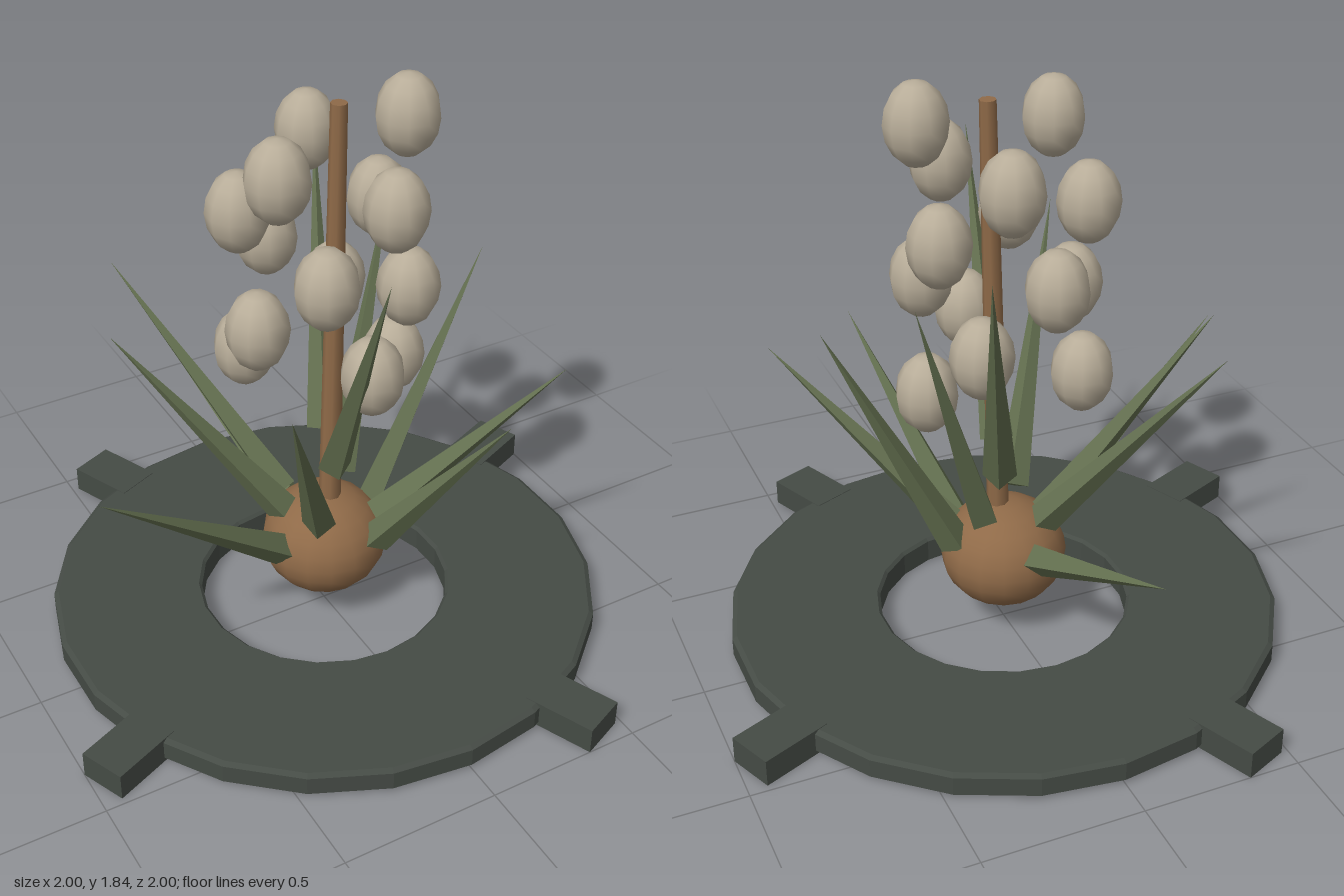
import * as THREE from 'three';

const mat = (name, color) => {
  const m = new THREE.MeshStandardMaterial({ color });
  m.name = name;
  return m;
};

// Gives every face its own normal
function faceted(geometry) {
  const g = geometry.toNonIndexed();
  g.computeVertexNormals();
  return g;
}

export function createModel() {
  const model = new THREE.Group();
  model.name = 'plant';
  const stone = mat('dark stone', 0x454b45);
  const brown = mat('bulb brown', 0x8f6a48);
  const green = mat('leaf green', 0x647050);
  const cream = mat('pale cream', 0xb8ad99);

  const add = (name, geometry, material, parent = model) => {
    const mesh = new THREE.Mesh(geometry, material);
    mesh.name = name;
    parent.add(mesh);
    return mesh;
  };
  const group = (name) => {
    const g = new THREE.Group();
    g.name = name;
    model.add(g);
    return g;
  };

  // Flat base ring with a worn, slightly bevelled rim
  const section = [
    [0.4, 0.005], [0.865, 0.005], [0.88, 0.018], [0.88, 0.078],
    [0.865, 0.088], [0.41, 0.09], [0.4, 0.08], [0.4, 0.005],
  ].map(([r, y]) => new THREE.Vector2(r, y));
  add('baseRing', faceted(new THREE.LatheGeometry(section, 22)), stone);

  // Four lugs around the ring
  const lugs = group('lugs');
  for (let i = 0; i < 4; i++) {
    const g = new THREE.BoxGeometry(0.23, 0.087, 0.15);
    g.translate(0.939, 0.0465, 0);
    add('lug', g, stone, lugs).rotation.y = 0.4 + (i * Math.PI) / 2;
  }

  // Bulb
  const bulb = add('bulb', new THREE.SphereGeometry(0.2, 16, 12), brown);
  bulb.scale.y = 0.88;
  bulb.position.y = 0.266;

  // A tapered piece running from one point to another
  const up = new THREE.Vector3(0, 1, 0);
  function spike(name, from, to, r0, r1, sides, material, parent) {
    const a = new THREE.Vector3(...from);
    const dir = new THREE.Vector3(...to).sub(a);
    const length = dir.length();
    const g = r1 > 0
      ? new THREE.CylinderGeometry(r1, r0, length, sides)
      : new THREE.ConeGeometry(r0, length, sides);
    g.translate(0, length / 2, 0);
    // Aim outward, keeping one ridge of the blade on top
    const heading = Math.atan2(dir.x, dir.z);
    const tilt = Math.acos(dir.y / length);
    const mesh = add(name, r1 > 0 ? g : faceted(g), material, parent);
    mesh.position.copy(a);
    mesh.quaternion.setFromAxisAngle(up, heading)
      .multiply(new THREE.Quaternion().setFromAxisAngle(new THREE.Vector3(1, 0, 0), tilt));
  }

  // Stem
  spike('stem', [0.012, 0.4, 0.015], [0.045, 1.775, 0.005], 0.035, 0.025, 8, brown, model);

  // Pointed leaves: base, then tip
  const leaves = group('leaves');
  [
    [[-0.04, 0.32, -0.18], [-0.15, 0.58, -0.79]],
    [[-0.09, 0.42, -0.11], [-0.44, 1.125, -0.56]],
    [[-0.13, 0.4, -0.04], [-0.595, 1.085, -0.22]],
    [[-0.17, 0.3, 0.04], [-0.83, 0.84, 0.205]],
    [[-0.08, 0.42, 0.11], [-0.41, 1.19, 0.555]],
    [[-0.02, 0.615, 0.1], [-0.105, 1.505, 0.54]],
    [[0.1, 0.32, 0.155], [0.305, 0.918, 0.55]],
    [[0.15, 0.36, 0.09], [0.62, 0.93, 0.39]],
    [[0.165, 0.335, -0.005], [0.575, 1.16, -0.02]],
    [[0.1, 0.45, -0.07], [0.375, 1.305, -0.26]],
    [[0.055, 0.61, -0.1], [0.25, 1.465, -0.505]],
  ].forEach(([base, tip]) => spike('leaf', base, tip, 0.053, 0, 4, green, leaves));

  // Egg-shaped buds spiralling up around the stem
  const buds = group('buds');
  const budShape = new THREE.SphereGeometry(0.096, 10, 8);
  for (let i = 0; i < 14; i++) {
    const a = THREE.MathUtils.degToRad(i * 137.5);
    const bud = add('bud', budShape, cream, buds);
    bud.scale.y = 1.32;
    bud.position.set(0.247 * Math.cos(a), 0.89 + i * 0.0635, -0.247 * Math.sin(a));
    bud.rotation.y = a;
  }

  return model;
}
